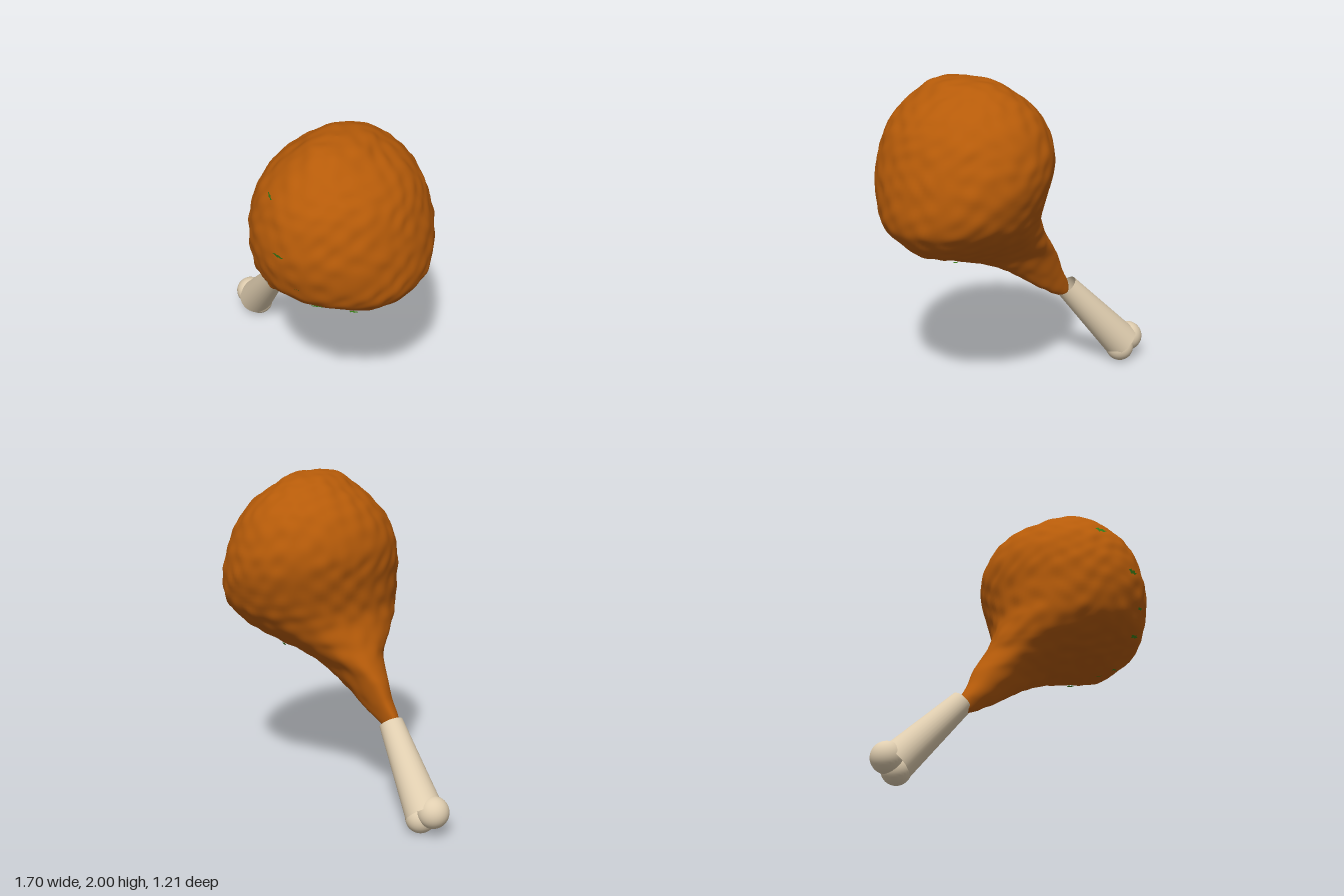
import * as THREE from 'three';

// Horizontal slices of the meat: y, xMin, xMax, zMin, zMax, skew
const SLICES = [
  [0.49, -0.38, -0.365, -0.235, -0.22, 0.5],
  [0.51, -0.41, -0.32, -0.258, -0.195, 0.5],
  [0.58, -0.41, -0.20, -0.262, -0.15, 0.48],
  [0.68, -0.355, -0.06, -0.26, -0.09, 0.46],
  [0.78, -0.315, 0.10, -0.265, -0.02, 0.44],
  [0.85, -0.275, 0.25, -0.27, 0.06, 0.4],
  [0.92, -0.24, 0.47, -0.29, 0.19, 0.32],
  [0.98, -0.23, 0.65, -0.31, 0.31, 0.2],
  [1.04, -0.225, 0.735, -0.35, 0.40, 0.08],
  [1.12, -0.215, 0.805, -0.40, 0.50, -0.02],
  [1.22, -0.205, 0.843, -0.46, 0.56, -0.08],
  [1.40, -0.21, 0.828, -0.52, 0.597, -0.07],
  [1.55, -0.21, 0.79, -0.525, 0.58, -0.04],
  [1.70, -0.16, 0.73, -0.48, 0.53, -0.02],
  [1.82, -0.07, 0.64, -0.40, 0.44, 0],
  [1.92, 0.06, 0.51, -0.27, 0.33, 0],
  [1.975, 0.14, 0.43, -0.14, 0.24, 0],
  [2.0, 0.28, 0.28, 0.07, 0.07, 0],
];

// Catmull-Rom blend of the slice table at u in 0..1
function sliceAt(u) {
  const last = SLICES.length - 1;
  const i = Math.min(Math.floor(u * last), last - 1);
  const f = u * last - i;
  const row = (k) => SLICES[Math.max(0, Math.min(last, k))];
  return row(i).map((b, c) => {
    const a = row(i - 1)[c], d = row(i + 1)[c], e = row(i + 2)[c];
    return b + 0.5 * f * (d - a + f * (2 * a - 5 * b + 4 * d - e + f * (3 * (b - d) + e - a)));
  });
}

// Soft dimples of the crust
function lump(x, y, z) {
  const u = x + 0.03 * Math.sin(13 * z + 5 * y);
  const v = y + 0.03 * Math.sin(12 * x + 7 * z);
  const w = z + 0.03 * Math.sin(14 * y - 6 * x);
  return 0.003 * (Math.sin(42 * u) * Math.sin(38 * v + 1) + Math.sin(41 * v) * Math.sin(39 * w + 2)
    + Math.sin(43 * w) * Math.sin(37 * u + 3));
}

function meatGeometry(rows = 136, sides = 128) {
  const pos = [], index = [];
  for (let j = 0; j <= rows; j++) {
    const [y, x0, x1, z0, z1, skew] = sliceAt(j / rows);
    const phase = Math.acos(skew);
    const fade = Math.min(1, (x1 - x0) / 0.2);
    const egg = 0.3 * (1 - THREE.MathUtils.smoothstep(y, 0.8, 1.15)); // blunter toward the bone
    const cx = (x0 + x1) / 2, cz = (z0 + z1) / 2;
    for (let i = 0; i < sides; i++) {
      const t = (i / sides) * Math.PI * 2;
      const x = cx + (x1 - x0) / 2 * (Math.cos(t) - egg * Math.sin(t) ** 2);
      const z = cz + (z1 - z0) / 2 * Math.cos(t - phase);
      const n = new THREE.Vector3(x - cx, (y - 1.4) * 0.6, z - cz).normalize();
      n.multiplyScalar(lump(x, y, z) * fade);
      pos.push(x + n.x, Math.min(2, y + n.y), z + n.z);
      if (j < rows) {
        const a = j * sides + i, b = j * sides + (i + 1) % sides;
        index.push(a, a + sides, b, b, a + sides, b + sides);
      }
    }
  }
  const g = new THREE.BufferGeometry();
  g.setAttribute('position', new THREE.Float32BufferAttribute(pos, 3));
  g.setIndex(index);
  g.computeVertexNormals();
  return g;
}

// Jagged little herb flake
function flakeGeometry() {
  const s = new THREE.Shape();
  [[-0.04, 0], [-0.02, 0.014], [-0.008, 0.007], [0.012, 0.017], [0.02, 0.006], [0.042, 0.008],
    [0.022, -0.01], [0.006, -0.006], [-0.012, -0.016], [-0.02, -0.006]]
    .forEach(([x, y], i) => (i ? s.lineTo(x, y) : s.moveTo(x, y)));
  return new THREE.ShapeGeometry(s);
}

export function createModel() {
  const meatMat = new THREE.MeshStandardMaterial({ name: 'roast brown', color: 0xb65b09 });
  const boneMat = new THREE.MeshStandardMaterial({ name: 'bone cream', color: 0xe0ceb0, side: THREE.DoubleSide });
  const herbMat = new THREE.MeshStandardMaterial({ name: 'herb green', color: 0x3c8419, side: THREE.DoubleSide });
  const model = new THREE.Group();
  model.name = 'drumstick';
  const add = (parent, name, geo, mat) => {
    const m = new THREE.Mesh(geo, mat);
    m.name = name;
    parent.add(m);
    return m;
  };

  const meat = add(model, 'meat', meatGeometry(), meatMat);

  // Bone: open tapered shaft with two knuckles
  const bone = new THREE.Group();
  bone.name = 'bone';
  model.add(bone);
  const foot = new THREE.Vector3(-0.7, 0.122, -0.491);
  const head = new THREE.Vector3(-0.379, 0.56, -0.26);
  const axis = head.clone().sub(foot);
  const shaft = add(bone, 'boneShaft', new THREE.CylinderGeometry(0.074, 0.118, axis.length(), 32, 1, true), boneMat);
  shaft.position.copy(foot).add(head).multiplyScalar(0.5);
  shaft.quaternion.setFromUnitVectors(new THREE.Vector3(0, 1, 0), axis.normalize());
  add(bone, 'upperKnuckle', new THREE.SphereGeometry(0.096, 32, 20), boneMat).position.set(-0.757, 0.145, -0.502);
  add(bone, 'lowerKnuckle', new THREE.SphereGeometry(0.09, 32, 20), boneMat).position.set(-0.675, 0.092, -0.495);

  // Herb flakes snapped onto the crust: x, y, z, spin, tilt, size
  const herbs = new THREE.Group();
  herbs.name = 'herbs';
  model.add(herbs);
  const flake = flakeGeometry();
  const p = meat.geometry.attributes.position, nrm = meat.geometry.attributes.normal;
  const v = new THREE.Vector3(), n = new THREE.Vector3();
  [[0.07, 1.73, 0.46, -0.25, 0.5, 0.95], [0.22, 1.46, 0.59, -0.1, 0.5, 1], [0.35, 1.26, 0.57, 0.1, 0.5, 0.65],
    [0.42, 1.11, 0.49, 0.25, 0.4, 1.1], [0.54, 0.95, 0.28, 0.6, 0.3, 0.8], [0.49, 0.91, 0.2, 1, 0.3, 0.7],
    [0.48, 0.89, -0.02, 0.8, 0.3, 1.2], [0.39, 0.92, -0.21, 1.2, 0.3, 0.6]]
    .forEach(([x, y, z, spin, tilt, size]) => {
      const target = new THREE.Vector3(x, y, z);
      let best = 0, bestD = Infinity;
      for (let i = 0; i < p.count; i++) {
        const d = v.fromBufferAttribute(p, i).distanceToSquared(target);
        if (d < bestD) { bestD = d; best = i; }
      }
      n.fromBufferAttribute(nrm, best);
      const m = add(herbs, 'herbFlake', flake, herbMat);
      m.position.fromBufferAttribute(p, best).addScaledVector(n, 0.009);
      m.lookAt(m.position.clone().add(n));
      m.rotateZ(spin);
      m.rotateX(tilt);
      m.scale.setScalar(size);
    });
  return model;
}
